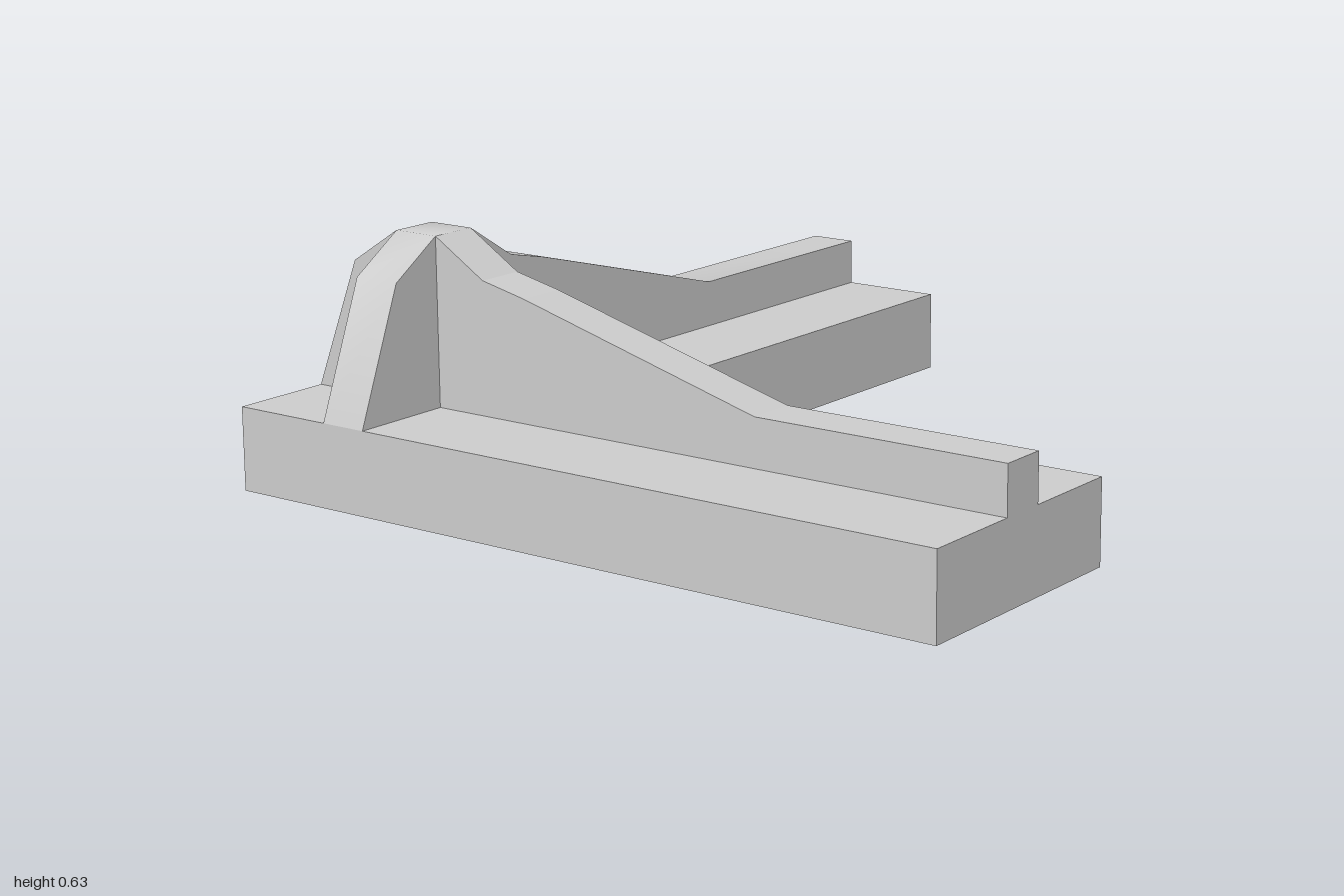
import * as THREE from 'three';
import { toCreasedNormals } from 'three/addons/utils/BufferGeometryUtils.js';

const BASE_H = 0.21;
const RIB_IN = 0.605, RIB_OUT = 0.73; // the ribs' two side planes
const ARM = 0.335; // inner edge of the L

// Side profile of a rib, split where the other rib crosses it
const outerSlope = [[-1, BASE_H], [-0.87, 0.54], [-RIB_OUT, 0.63]];
const innerSlope = [[-RIB_IN, 0.63], [-0.46, 0.54], [-0.335, 0.512], [0.335, 0.33], [1, 0.33], [1, BASE_H]];

function extrude(points, depth) {
  const shape = new THREE.Shape(points.map(([x, y]) => new THREE.Vector2(x, y)));
  return new THREE.ExtrudeGeometry(shape, { depth, bevelEnabled: false });
}

export function createModel() {
  const group = new THREE.Group();
  const material = new THREE.MeshStandardMaterial({ color: 0xcccccc });
  const add = (name, geometry) => {
    const mesh = new THREE.Mesh(geometry, material);
    mesh.name = name;
    group.add(mesh);
  };

  // L-shaped base plate, drawn in plan (shape y becomes -z)
  const plan = [[-1, -1], [1, -1], [1, -ARM], [-ARM, -ARM], [-ARM, 1], [-1, 1]];
  add('base', extrude(plan, BASE_H).rotateX(-Math.PI / 2));

  // Continuous rib running front to back, with a softened ridge
  const longRib = extrude([...outerSlope, ...innerSlope], RIB_OUT - RIB_IN)
    .translate(0, 0, -RIB_OUT)
    .rotateY(Math.PI / 2);
  add('longitudinalRib', toCreasedNormals(longRib, 0.65));

  // Cross rib, in two pieces either side of the first
  const crossPieces = {
    crossRibOuter: [...outerSlope, [-RIB_OUT, BASE_H]],
    crossRibInner: [[-RIB_IN, BASE_H], ...innerSlope],
  };
  for (const [name, points] of Object.entries(crossPieces)) {
    add(name, extrude(points, RIB_OUT - RIB_IN).translate(0, 0, RIB_IN));
  }
  return group;
}
